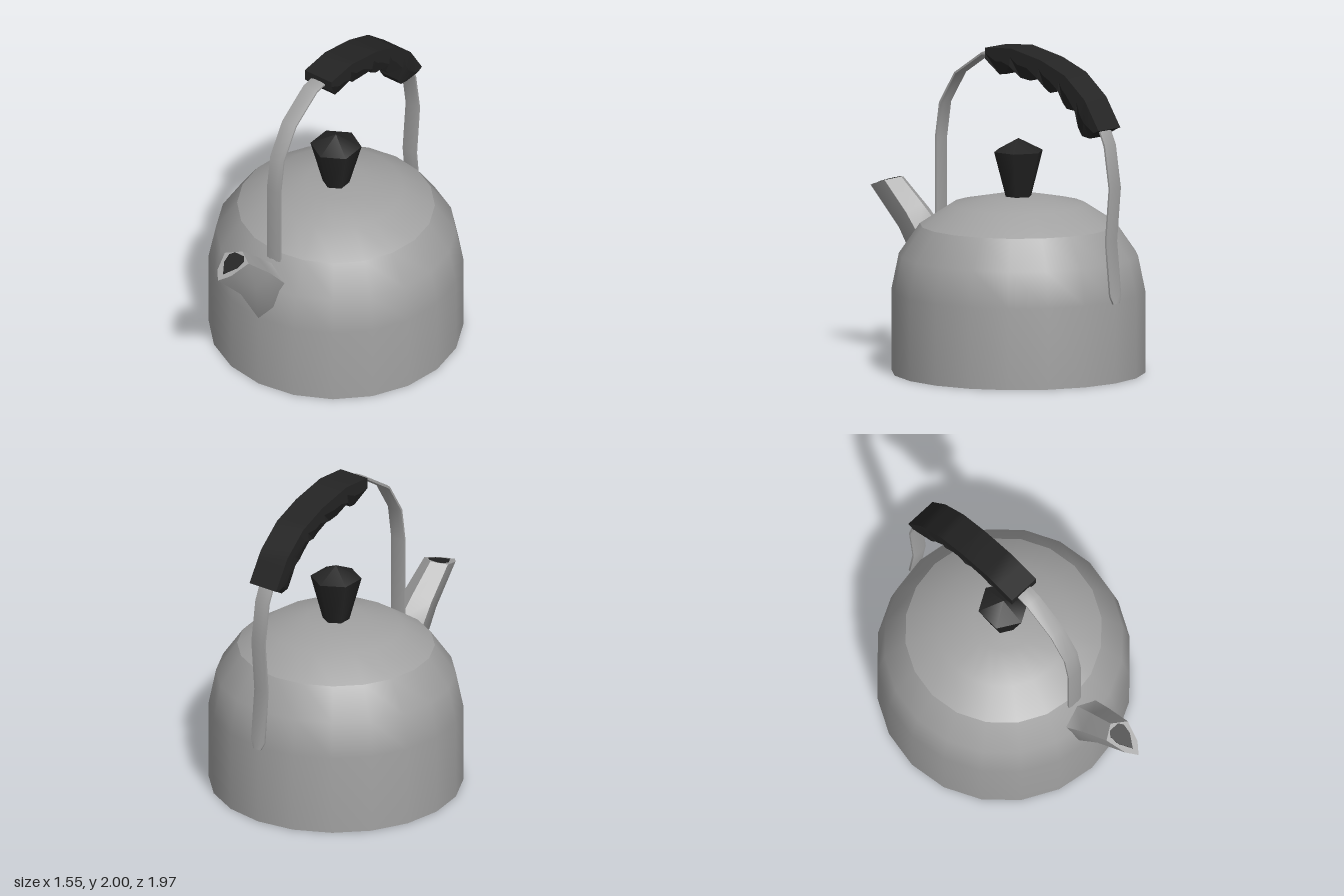
import * as THREE from 'three';
import { toCreasedNormals } from 'three/addons/utils/BufferGeometryUtils.js';

const BODY_Z = -0.195;

// Skin a list of equal-length rings (counter-clockwise seen from the last ring), closing both ends
function loft(rings, crease) {
  const n = rings[0].length, index = [], end = (rings.length - 1) * n;
  for (let a = 0; a < end; a += n) {
    for (let i = 0; i < n; i++) {
      const j = (i + 1) % n, b = a + n;
      index.push(a + i, a + j, b + j, a + i, b + j, b + i);
    }
  }
  for (let i = 1; i < n - 1; i++) index.push(0, i + 1, i, end, end + i, end + i + 1);
  const geo = new THREE.BufferGeometry();
  geo.setAttribute('position', new THREE.Float32BufferAttribute(rings.flat(2), 3));
  geo.setIndex(index);
  return toCreasedNormals(geo, crease);
}

// Six-sided spout section from top, upper side, lower side and bottom points
function spoutRing(top, upper, lower, bottom) {
  const flip = ([x, y, z]) => [-x, y, z];
  return [top, flip(upper), flip(lower), bottom, lower, upper];
}

function makeMaterial(name, color) {
  const mat = new THREE.MeshStandardMaterial({ color });
  mat.name = name;
  return mat;
}

export function createModel() {
  const metal = makeMaterial('brushed metal', 0xa1a1a1);
  const paleMetal = makeMaterial('pale base metal', 0xd0d0d0);
  const black = makeMaterial('black plastic', 0x242424);
  const kettle = new THREE.Group();
  kettle.name = 'kettle';

  function add(name, geo, mat, y = 0, z = 0) {
    const mesh = new THREE.Mesh(geo, mat);
    mesh.name = name;
    mesh.position.set(0, y, z);
    kettle.add(mesh);
  }
  const lathe = (pts) => new THREE.LatheGeometry(pts.map(p => new THREE.Vector2(...p)), 20);

  // Body shell, lid and base
  add('body', lathe([[0.775, 0], [0.775, 0.5], [0.73, 0.72], [0.602, 0.905]]), metal, 0, BODY_Z);
  add('lid', lathe([[0.602, 0.905], [0.41, 1.03], [0.185, 1.075], [0, 1.08]]), metal, 0, BODY_Z);
  const base = new THREE.CircleGeometry(0.775, 20);
  base.rotateX(Math.PI / 2);
  add('base', base, paleMetal, 0, BODY_Z);

  // Hexagonal lid knob with a pointed top
  add('knob', new THREE.CylinderGeometry(0.157, 0.08, 0.285, 6, 1, true), black, 1.2125, BODY_Z);
  add('knobTop', new THREE.ConeGeometry(0.157, 0.08, 6, 1, true), black, 1.395, BODY_Z);

  // Spout, starting inside the body and ending in a slanted rim
  const root = spoutRing([0, 0.83, 0.44], [0.125, 0.768, 0.487], [0.085, 0.6, 0.555], [0, 0.5, 0.582]);
  const middle = spoutRing([0, 0.96, 0.578], [0.11, 0.91, 0.61], [0.075, 0.835, 0.705], [0, 0.79, 0.76]);
  const tip = spoutRing([0, 1.105, 0.743], [0.09, 1.088, 0.8], [0.052, 1.05, 0.925], [0, 1.03, 0.988]);
  const inner = root.map(([x, y, z]) => [x, y, z - 0.1]);
  add('spout', loft([inner, root, middle, tip], 0.85), metal);

  // Dark mouth plate lying on the rim
  const mouth = [
    [0.035, 0.772], [-0.035, 0.772], [-0.057, 0.8], [-0.05, 0.86], [0, 0.937], [0.05, 0.86], [0.057, 0.8],
  ];
  const mouthRing = (lift) => mouth.map(([x, z]) => [x, 1.105 - (z - 0.743) * 0.306 + lift, z]);
  add('spoutOpening', loft([mouthRing(0), mouthRing(0.005)], 0.5), black);

  // Flat handle strap: z, y and half width along its path
  const path = [
    [0.425, 0.8], [0.425, 1.38], [0.392, 1.6], [0.272, 1.795], [0.06, 1.935], [-0.04, 1.945],
    [-0.22, 1.94], [-0.45, 1.89], [-0.63, 1.81], [-0.79, 1.69], [-0.885, 1.55], [-0.925, 1.46],
    [-0.965, 1.2], [-0.935, 0.87], [-0.968, 0.54], [-0.975, 0.49, 0.028],
  ];
  const section = [
    [1, -0.006], [1, 0.006], [0.5, 0.011], [-0.5, 0.011],
    [-1, 0.006], [-1, -0.006], [-0.5, -0.011], [0.5, -0.011],
  ];
  const strapRings = path.map(([z, y, w = 0.051], i) => {
    const p = path[Math.max(i - 1, 0)], q = path[Math.min(i + 1, path.length - 1)];
    const t = new THREE.Vector2(q[0] - p[0], q[1] - p[1]).normalize();
    return section.map(([a, b]) => [a * w, y + b * t.x, z - b * t.y]);
  });
  add('handleStrap', loft(strapRings, 0.7), metal);

  // Grip: arched top, and finger bumps below that narrow towards their tips
  const arch = [[0.016, 1.985], [0.22, 2], [0.46, 1.95], [0.65, 1.875], [0.81, 1.74], [0.923, 1.56]];
  // Position along the arch, distance to the back, height and half width of the underside
  const W = 0.102, TIP = 0.066;
  const underside = [
    [0, 0.016, 1.915, W], [0.4, 0.1, 1.825, TIP], [0.6, 0.143, 1.83, TIP], [1, 0.207, 1.89, W],
    [1.2, 0.27, 1.82, TIP], [1.5, 0.345, 1.81, TIP], [2, 0.424, 1.84, W],
    [2.2, 0.46, 1.777, TIP], [2.45, 0.504, 1.75, TIP], [2.8, 0.594, 1.777, W],
    [3, 0.605, 1.7, TIP], [3.2, 0.637, 1.666, TIP], [3.7, 0.73, 1.666, W],
    [4, 0.727, 1.56, TIP], [4.3, 0.76, 1.51, TIP], [4.6, 0.82, 1.5, TIP], [5, 0.88, 1.544, W],
  ];
  const gripRings = underside.map(([s, u, y, w]) => {
    const k = Math.min(Math.floor(s), 4), f = s - k;
    const topU = THREE.MathUtils.lerp(arch[k][0], arch[k + 1][0], f);
    const topY = THREE.MathUtils.lerp(arch[k][1], arch[k + 1][1], f);
    const midU = (topU + u) / 2, midY = (topY + y) / 2;
    return [[w, y, -u], [-w, y, -u], [-W, midY, -midU], [-W, topY, -topU], [W, topY, -topU], [W, midY, -midU]];
  });
  add('grip', loft(gripRings, 0.4), black);

  return kettle;
}
